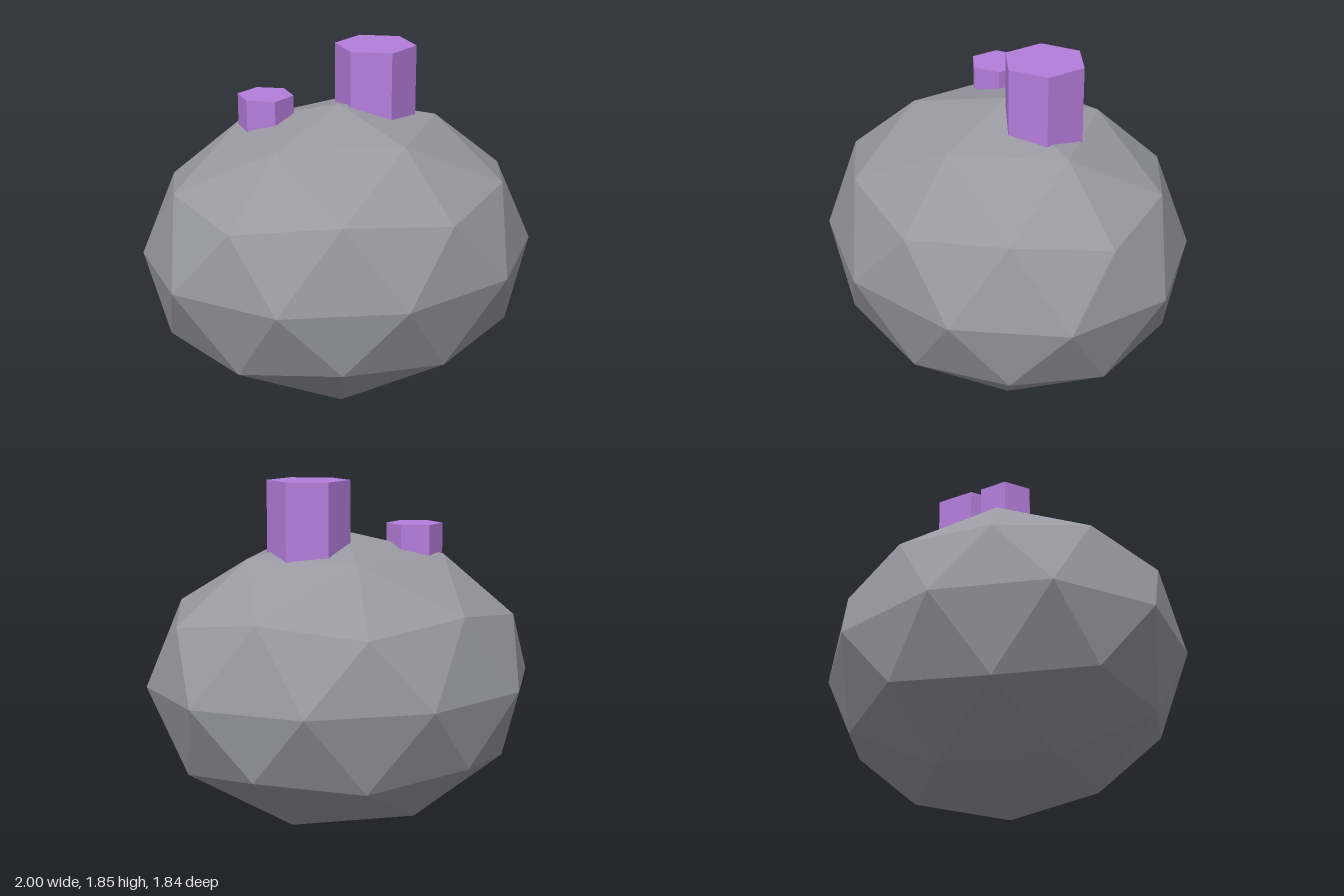
import * as THREE from 'three';

const rockMaterial = new THREE.MeshStandardMaterial({ color: 0x9a99a2, flatShading: true });
const crystalMaterial = new THREE.MeshStandardMaterial({ color: 0xb57edc, flatShading: true });

// Once-subdivided icosahedron standing on one of its corners, squashed to an ellipsoid
function rockGeometry(rx, ry, rz) {
  const y = Math.sqrt(0.2), r = 2 * y;
  const corners = [0, 1, 0, 0, -1, 0];
  const faces = [];
  for (let k = 0; k < 5; k++) {
    const a = (k * 2 * Math.PI) / 5, b = a + Math.PI / 5;
    corners.push(r * Math.cos(a), y, -r * Math.sin(a));
    corners.push(r * Math.cos(b), -y, -r * Math.sin(b));
    const up = 2 + 2 * k, low = up + 1;
    const nextUp = 2 + 2 * ((k + 1) % 5), nextLow = nextUp + 1;
    faces.push(0, up, nextUp, up, low, nextUp, low, nextLow, nextUp, 1, nextLow, low);
  }
  const geometry = new THREE.PolyhedronGeometry(corners, faces, 1, 1);
  geometry.scale(rx, ry, rz);
  geometry.computeVertexNormals();
  return geometry;
}

// Upright hexagonal prism sunk into the rock
function crystal(name, radius, x, z, bottom, top) {
  const mesh = new THREE.Mesh(new THREE.CylinderGeometry(radius, radius, top - bottom, 6), crystalMaterial);
  mesh.name = name;
  mesh.position.set(x, (top + bottom) / 2, z);
  return mesh;
}

export function createModel() {
  const model = new THREE.Group();
  model.name = 'crystalRock';

  const rock = new THREE.Mesh(rockGeometry(1.0515, 0.787, 0.92), rockMaterial);
  rock.name = 'rock';
  rock.position.y = 0.79;
  model.add(rock);

  model.add(crystal('largeCrystal', 0.213, 0.235, -0.072, 1.32, 1.852));
  model.add(crystal('smallCrystal', 0.147, -0.338, -0.172, 1.32, 1.616));
  return model;
}
